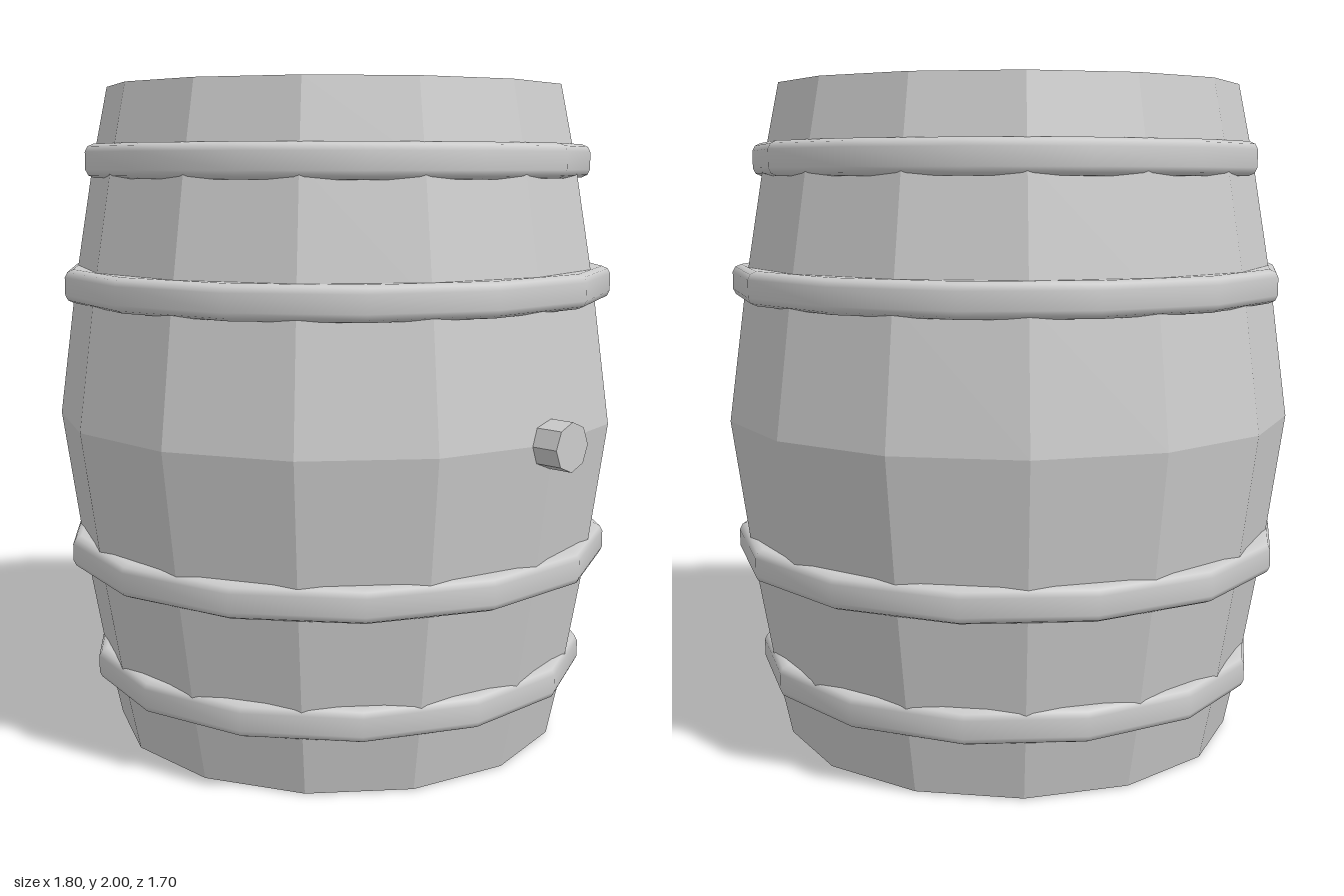
import * as THREE from 'three';

const SIDES = 14;
const STEP = (Math.PI * 2) / SIDES;
const CENTRE_X = -0.033;

const wood = new THREE.MeshStandardMaterial({ color: 0xcccccc });
wood.name = 'light grey';
const dark = new THREE.MeshStandardMaterial({ color: 0x54554e });
dark.name = 'dark grey';

// Lathe from [radius, height] pairs listed from the bottom up
function lathe(points, start = 0) {
  return new THREE.LatheGeometry(points.map(([r, y]) => new THREE.Vector2(r, y)), SIDES, start);
}

// Separate the faces so every facet gets its own normal
function faceted(geometry) {
  const flat = geometry.toNonIndexed();
  flat.computeVertexNormals();
  return flat;
}

function add(parent, name, geometry, material) {
  const mesh = new THREE.Mesh(geometry, material);
  mesh.name = name;
  parent.add(mesh);
  return mesh;
}

export function createModel() {
  const model = new THREE.Group();
  model.name = 'barrel';
  const body = new THREE.Group();
  body.name = 'barrelBody';
  body.position.x = CENTRE_X;
  model.add(body);

  // Bulging staves with base, rim and inner lip; corners lie on the x axis
  add(body, 'staves', faceted(lathe([
    [0.05, 0.003], [0.702, 0.003], [0.75, 0.23], [0.813, 0.6], [0.868, 1],
    [0.813, 1.4], [0.75, 1.77], [0.702, 2], [0.634, 2], [0.634, 1.88],
  ], STEP / 2)), wood);

  // Dark surface inside the rim
  const lid = add(body, 'sunkenLid', new THREE.CircleGeometry(0.634, SIDES), dark);
  lid.rotation.x = -Math.PI / 2;
  lid.position.y = 1.89;

  // Dark round patch under the base
  const patch = add(body, 'basePatch', new THREE.CircleGeometry(0.186, 32), dark);
  patch.rotation.x = Math.PI / 2;

  // Rounded hoops, turned half a facet against the staves
  for (const [y, r] of [[0.23, 0.78], [0.595, 0.85], [1.41, 0.85], [1.778, 0.78]]) {
    const hoop = add(body, 'hoop', lathe([
      [r - 0.08, -0.05], [r - 0.026, -0.05], [r - 0.008, -0.042], [r, -0.026],
      [r, 0.026], [r - 0.008, 0.042], [r - 0.026, 0.05], [r - 0.08, 0.05],
    ]), wood);
    hoop.position.y = y;
  }

  // Eight-sided bung on the left side
  const bung = faceted(new THREE.CylinderGeometry(0.071, 0.071, 0.14, 8));
  bung.rotateZ(-Math.PI / 2);
  add(model, 'bung', bung, wood).position.set(0.83, 1, 0);

  return model;
}
